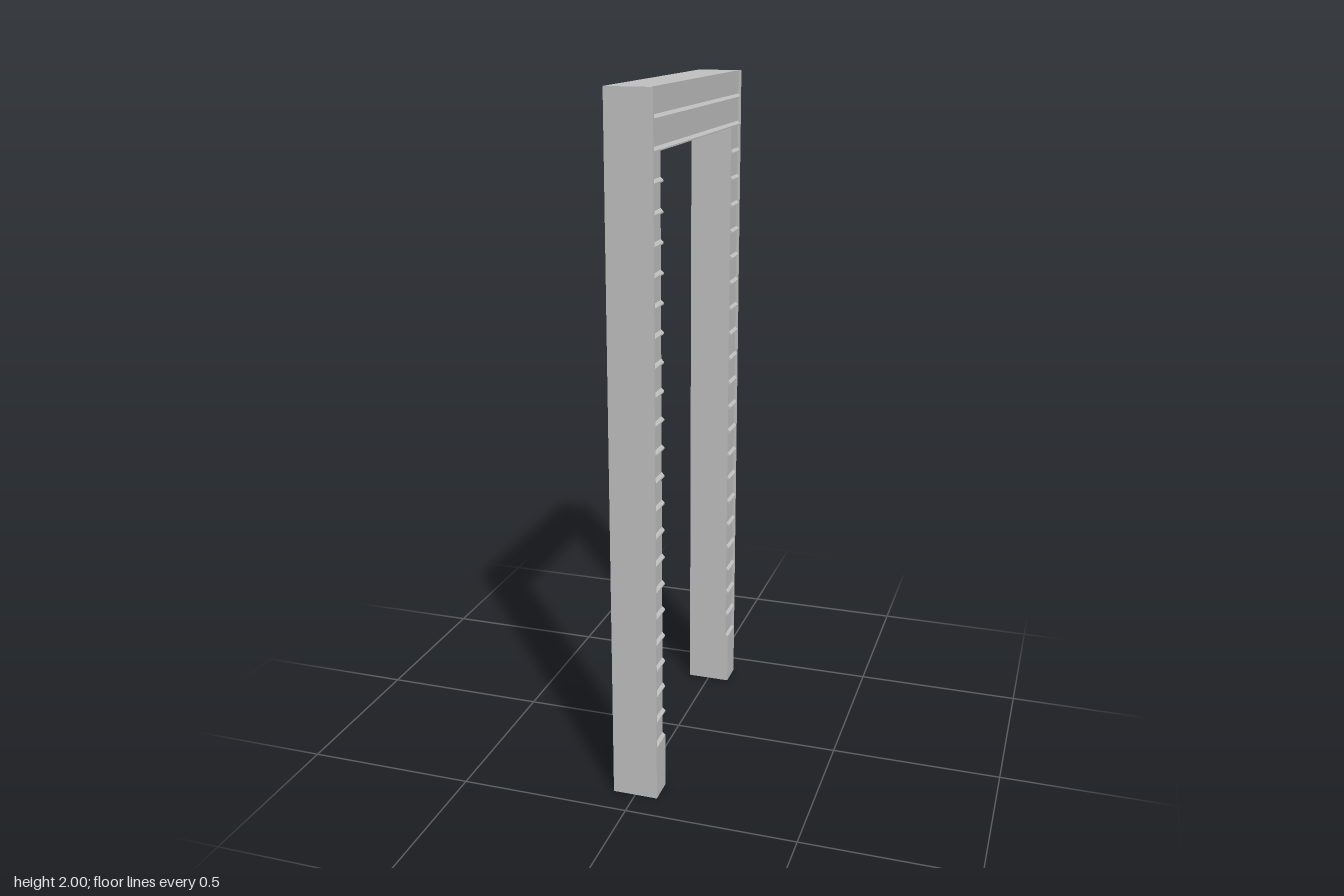
import * as THREE from 'three';

const HALF_WIDTH = 0.066, HALF_LENGTH = 0.415, TOP = 2;
const LEG = 0.08, LINTEL_BOTTOM = 1.84, TRIM = 0.005;
const PITCH = 0.08, BASE_TOP = 0.16, DEPTH = 0.008;

// Side profile: plain back, front face with a small drip ridge at every board
function sidingProfile(bottom, top) {
  const out = HALF_WIDTH, inner = HALF_WIDTH - DEPTH;
  const shape = new THREE.Shape();
  shape.moveTo(-HALF_WIDTH, bottom);
  let first = Math.round((bottom - BASE_TOP) / PITCH);
  if (bottom < BASE_TOP) {
    // plain plinth with a bevelled top edge
    shape.lineTo(out, bottom);
    shape.lineTo(out, BASE_TOP + 0.004);
    shape.lineTo(inner, BASE_TOP + 0.012);
    first = 1;
  }
  for (let i = first; BASE_TOP + i * PITCH < top - 0.01; i++) {
    const y = BASE_TOP + i * PITCH;
    if (y > bottom + 0.001) shape.lineTo(inner, y);
    shape.lineTo(out, y);
    shape.lineTo(out, y + 0.004);
    shape.lineTo(inner, y + 0.012);
  }
  shape.lineTo(inner, top);
  shape.lineTo(-HALF_WIDTH, top);
  return shape;
}

export function createModel() {
  const model = new THREE.Group();
  model.name = 'doorFrame';
  const grey = new THREE.MeshStandardMaterial({ color: 0xc0c0c0 });
  grey.name = 'plain grey';

  const add = (name, geometry, x, y, z) => {
    const mesh = new THREE.Mesh(geometry, grey);
    mesh.name = name;
    mesh.position.set(x, y, z);
    model.add(mesh);
  };
  const extrude = (bottom, top, depth) =>
    new THREE.ExtrudeGeometry(sidingProfile(bottom, top), { depth, bevelEnabled: false });

  // Lintel spanning between the end trims
  const span = 2 * (HALF_LENGTH - TRIM);
  add('lintel', extrude(LINTEL_BOTTOM, TOP, span), 0, 0, -span / 2);

  // Posts with a flat trim board over each outer end
  const postDepth = LEG - TRIM;
  for (const [name, side] of [['front', 1], ['back', -1]]) {
    const z = side > 0 ? HALF_LENGTH - LEG : -HALF_LENGTH + TRIM;
    add(name + 'Post', extrude(0, LINTEL_BOTTOM, postDepth), 0, 0, z);
    add(name + 'Trim', new THREE.BoxGeometry(2 * HALF_WIDTH, TOP, TRIM),
      0, TOP / 2, side * (HALF_LENGTH - TRIM / 2));
  }
  return model;
}
